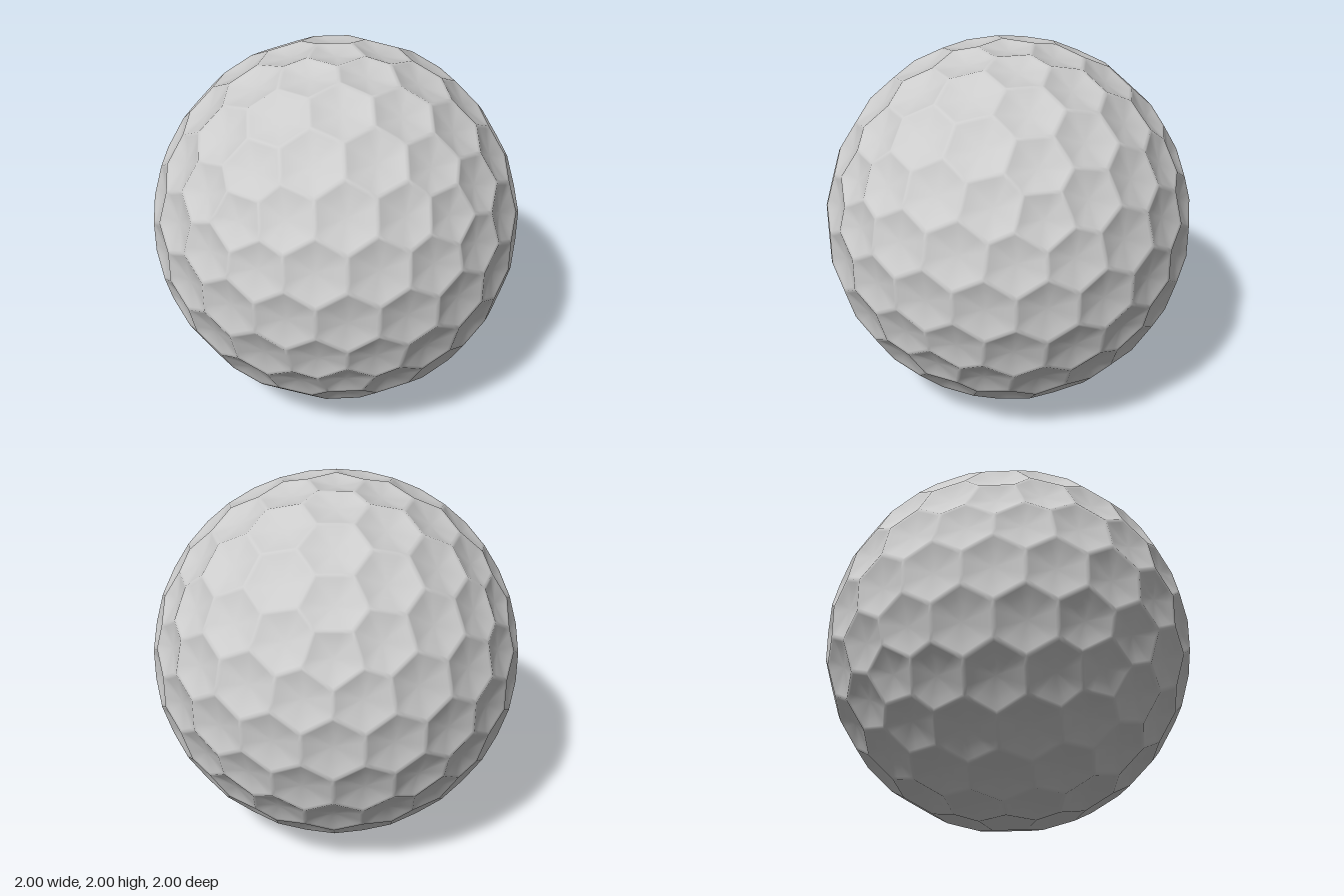
import * as THREE from 'three';
import { mergeVertices } from 'three/addons/utils/BufferGeometryUtils.js';

const FREQ = 4;                                  // cells along each icosahedron edge
const EDGE_STEPS = 4;                            // divisions of each cell side
const RINGS = [0, 0.25, 0.5, 0.7, 0.9, 1];       // rings from cell centre to ridge
const DEPTH = 0.13;                              // dimple depth relative to cell radius

// Twelve icosahedron corners, two of them at the poles
function icosahedron() {
  const v = [new THREE.Vector3(0, 1, 0)];
  const y = 1 / Math.sqrt(5), r = 2 * y;
  for (const [sign, start] of [[1, 0], [-1, 36]]) {
    for (let k = 0; k < 5; k++) {
      const a = THREE.MathUtils.degToRad(start + 72 * k);
      v.push(new THREE.Vector3(r * Math.cos(a), sign * y, r * Math.sin(a)));
    }
  }
  v.push(new THREE.Vector3(0, -1, 0));
  const faces = [];
  for (let k = 0; k < 5; k++) {
    const u = 1 + k, u2 = 1 + (k + 1) % 5, l = 6 + k, l2 = 6 + (k + 1) % 5;
    faces.push([0, u, u2], [u, u2, l], [u2, l, l2], [11, l, l2]);
  }
  return faces.map((f) => f.map((i) => v[i]));
}

// Cells centred on the subdivided sphere; each corner is where three tangent planes meet
function buildCells() {
  const cells = new Map();
  const cellAt = (p) => {
    const key = p.toArray().map((n) => Math.round(n * 1000) + 0).join();
    if (!cells.has(key)) cells.set(key, { center: p, corners: [] });
    return cells.get(key);
  };
  const addCorner = (trio) => {
    const [a, b, c] = trio.map((t) => t.center);
    const m = b.clone().sub(a).cross(c.clone().sub(a)).normalize();
    m.divideScalar(m.dot(a));
    trio.forEach((t) => t.corners.push(m));
  };
  for (const [A, B, C] of icosahedron()) {
    const at = (i, j) => cellAt(new THREE.Vector3()
      .addScaledVector(A, FREQ - i - j).addScaledVector(B, i).addScaledVector(C, j).normalize());
    for (let i = 0; i < FREQ; i++) {
      for (let j = 0; j < FREQ - i; j++) {
        addCorner([at(i, j), at(i + 1, j), at(i, j + 1)]);
        if (i + j < FREQ - 1) addCorner([at(i + 1, j), at(i + 1, j + 1), at(i, j + 1)]);
      }
    }
  }
  return [...cells.values()];
}

// Corners in counter-clockwise order seen from outside
function sortCorners({ center, corners }) {
  const u = corners[0].clone().sub(center).normalize();
  const w = center.clone().cross(u);
  const angle = (p) => {
    const d = p.clone().sub(center);
    return Math.atan2(d.dot(w), d.dot(u));
  };
  return [...corners].sort((p, q) => angle(p) - angle(q));
}

// Shallow bowl filling one cell
function addDimple(cell, positions) {
  const { center } = cell;
  const corners = sortCorners(cell);
  const radius = corners.reduce((s, p) => s + p.distanceTo(center), 0) / corners.length;
  const rim = [];
  corners.forEach((p, i) => {
    const next = corners[(i + 1) % corners.length];
    for (let k = 0; k < EDGE_STEPS; k++) rim.push(p.clone().lerp(next, k / EDGE_STEPS));
  });
  const rings = RINGS.map((s) => rim.map((p) => center.clone().lerp(p, s)
    .addScaledVector(center, -DEPTH * radius * (1 - s * s))));
  const push = (...pts) => pts.forEach((p) => positions.push(p.x, p.y, p.z));
  for (let r = 1; r < rings.length; r++) {
    for (let i = 0; i < rim.length; i++) {
      const j = (i + 1) % rim.length;
      push(rings[r - 1][i], rings[r][i], rings[r][j]);
      if (r > 1) push(rings[r - 1][i], rings[r][j], rings[r - 1][j]);
    }
  }
}

export function createModel() {
  const positions = [];
  buildCells().forEach((cell) => addDimple(cell, positions));

  // Shared vertices give softly rounded ridges
  let geometry = new THREE.BufferGeometry();
  geometry.setAttribute('position', new THREE.Float32BufferAttribute(positions, 3));
  geometry = mergeVertices(geometry, 1e-4);
  geometry.computeVertexNormals();

  const ball = new THREE.Mesh(geometry, new THREE.MeshStandardMaterial({ color: 0xcccccc }));
  ball.name = 'dimpledBall';
  ball.position.y = 1;
  const group = new THREE.Group();
  group.name = 'golfBall';
  group.add(ball);
  return group;
}
